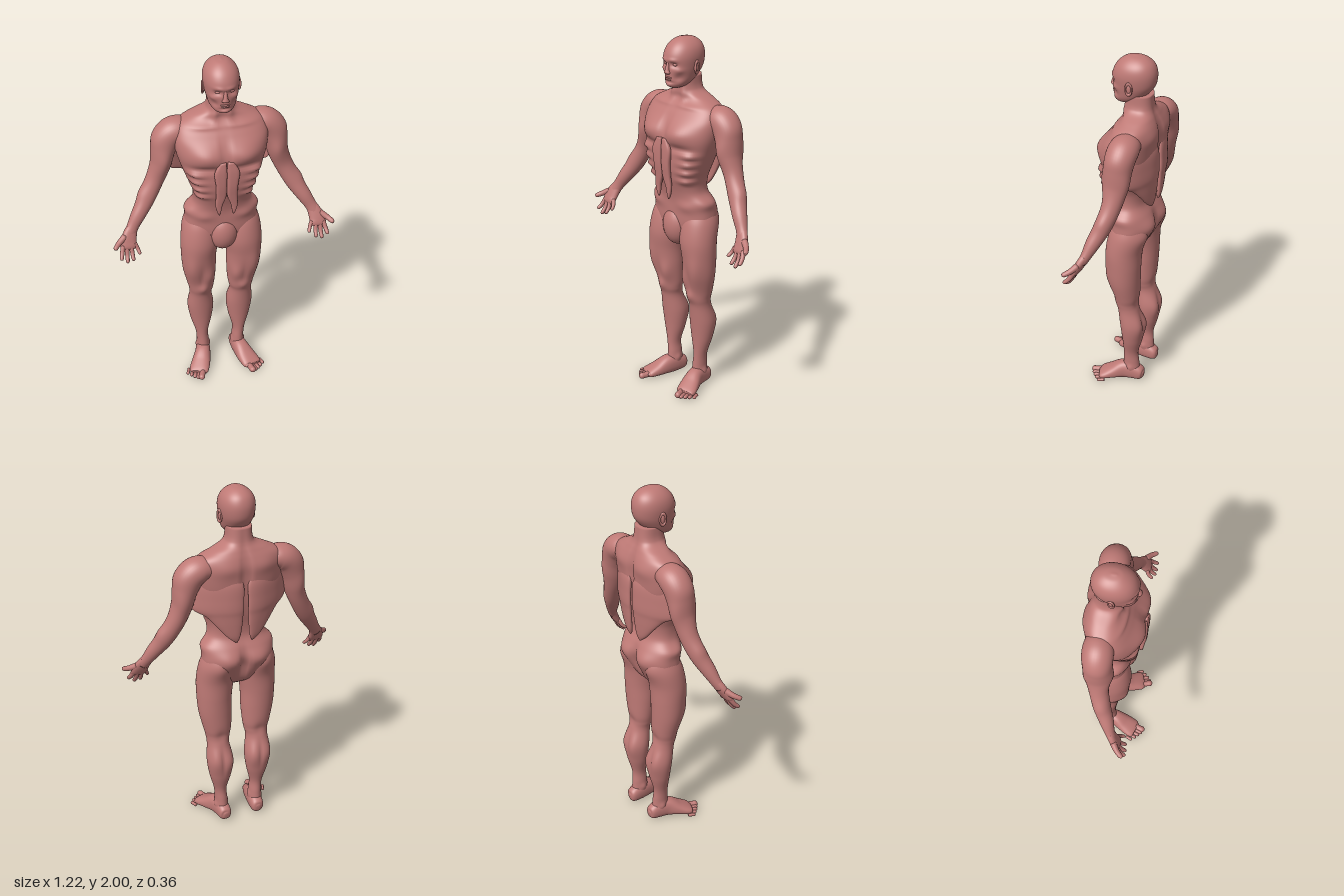
import * as THREE from 'three';

const skin = new THREE.MeshStandardMaterial({ color: 0xbf7a76 });
skin.name = 'skin';

const signedPow = (v, e) => Math.sign(v) * Math.abs(v) ** e;

// Smooth closed skin through elliptical sections [x, y, z, halfWidth, halfDepth]
function loft(sections, { ref = [0, 0, 1], rows = 40, sides = 32, power = 1, flat = false } = {}) {
  const path = new THREE.CatmullRomCurve3(sections.map(s => new THREE.Vector3(s[0], s[1], s[2])), false, 'catmullrom');
  const size = new THREE.CatmullRomCurve3(sections.map(s => new THREE.Vector3(s[3], s[4], 0)), false, 'catmullrom');
  const axis = new THREE.Vector3(...ref), pos = [], idx = [];
  for (let i = -1; i <= rows + 1; i++) {
    const t = Math.min(1, Math.max(0, i / rows));
    const c = path.getPoint(t), r = size.getPoint(t);
    if (i < 0 || i > rows) r.set(0, 0, 0);
    const d = flat ? new THREE.Vector3(0, -1, 0) : path.getTangent(t);
    const u = axis.clone().cross(d).normalize(), v = d.clone().cross(u);
    for (let j = 0; j < sides; j++) {
      const a = j / sides * Math.PI * 2;
      const p = c.clone()
        .addScaledVector(u, Math.max(0, r.x) * signedPow(Math.cos(a), power))
        .addScaledVector(v, Math.max(0, r.y) * signedPow(Math.sin(a), power));
      pos.push(p.x, p.y, p.z);
    }
  }
  for (let i = 0; i < rows + 2; i++) for (let j = 0; j < sides; j++) {
    const k = (j + 1) % sides, a = i * sides + j, b = i * sides + k;
    idx.push(a, b, a + sides, b, b + sides, a + sides);
  }
  const g = new THREE.BufferGeometry();
  g.setAttribute('position', new THREE.Float32BufferAttribute(pos, 3));
  g.setIndex(idx);
  g.computeVertexNormals();
  return g;
}

// Move every vertex by a rule
function reshape(g, rule) {
  const p = g.attributes.position, v = new THREE.Vector3();
  for (let i = 0; i < p.count; i++) {
    v.fromBufferAttribute(p, i);
    rule(v);
    p.setXYZ(i, v.x, v.y, v.z);
  }
  g.computeVertexNormals();
  return g;
}

// Soft swellings and hollows [x, y, z, rx, ry, rz, dx, dy, dz], symmetric when sym is set
function sculpt(g, bumps, sym = false) {
  return reshape(g, v => {
    const o = v.clone(), side = sym && o.x < 0 ? -1 : 1;
    for (const [x, y, z, rx, ry, rz, dx, dy, dz] of bumps) {
      const q = ((o.x * side - x) / rx) ** 2 + ((o.y - y) / ry) ** 2 + ((o.z - z) / rz) ** 2;
      const w = Math.exp(-q);
      v.x += dx * w * side * (sym ? Math.min(1, Math.abs(o.x) / 0.02) : 1);
      v.y += dy * w;
      v.z += dz * w;
    }
  });
}

function ball(x, y, z, rx, ry, rz) {
  return new THREE.SphereGeometry(1, 28, 20).scale(rx, ry, rz).translate(x, y, z);
}

function mirrored(g) {
  const m = g.clone().scale(-1, 1, 1), ix = m.index;
  for (let i = 0; i < ix.count; i += 3) {
    const a = ix.getX(i);
    ix.setX(i, ix.getX(i + 1));
    ix.setX(i + 1, a);
  }
  m.computeVertexNormals();
  return m;
}

export function createModel() {
  const model = new THREE.Group();
  model.name = 'muscleFigure';
  const add = (name, g) => {
    const m = new THREE.Mesh(g, skin);
    m.name = name;
    model.add(m);
  };
  const pair = (name, g) => { add(name + 'Left', g); add(name + 'Right', mirrored(g)); };
  // Horizontal rings [y, halfWidth, frontZ, backZ]
  const rings = list => list.map(([y, w, f, b]) => [0, y, (f + b) / 2, w, (f - b) / 2]);

  // Trunk and neck
  const trunk = loft(rings([
    [1.80, .066, .02, -.125], [1.74, .07, .015, -.13], [1.71, .09, .015, -.137], [1.68, .155, .015, -.15],
    [1.645, .22, .04, -.163], [1.60, .245, .075, -.172], [1.55, .25, .105, -.172], [1.48, .24, .125, -.168],
    [1.40, .215, .125, -.155], [1.32, .185, .122, -.135], [1.25, .16, .108, -.118], [1.18, .158, .085, -.115],
    [1.12, .19, .072, -.14], [1.06, .2, .07, -.155], [1.0, .2, .068, -.145], [.95, .185, .06, -.125],
    [.90, .14, .035, -.095], [.87, .07, .01, -.06],
  ]), { rows: 110, sides: 80, power: .82, flat: true });
  const trunkBumps = [
    [.11, 1.515, .13, .095, .055, .06, 0, 0, .03],     // chest muscle
    [.11, 1.435, .13, .1, .018, .06, 0, 0, -.014],     // crease under chest
    [0, 1.54, .12, .012, .07, .06, 0, 0, -.014],       // breastbone groove
    [0, 1.5, -.17, .018, .2, .05, 0, 0, .02],          // spine groove
    [0, 1.01, -.15, .022, .08, .06, 0, 0, .035],       // cleft
    [.09, 1.05, -.15, .07, .06, .06, 0, 0, -.022],     // buttock
    [.1, 1.6, -.17, .07, .05, .05, 0, 0, -.01],        // shoulder blade
    [.1, 1.645, .03, .09, .012, .05, 0, 0, .008],      // collar bone
    [.19, 1.12, 0, .05, .03, .1, .014, 0, 0],          // hip crest
    [.12, 1.1, .07, .06, .03, .05, 0, 0, .012],        // lower belly
    [.04, 1.7, .01, .02, .06, .04, 0, 0, .01],         // neck cord
  ];
  for (let i = 0; i < 4; i++) {                        // ribs
    trunkBumps.push([.155 - i * .008, 1.40 - i * .05, .09, .045, .016, .06, .014, 0, .014]);
  }
  add('trunk', sculpt(trunk, trunkBumps, true));

  // Broad back muscles, free at the lower tips and wrapping to the flanks
  const lat = loft([
    [.13, 1.57, -.15, .09, .012], [.135, 1.5, -.162, .122, .02], [.139, 1.42, -.166, .126, .02],
    [.138, 1.365, -.166, .125, .02], [.108, 1.325, -.162, .092, .018], [.085, 1.27, -.158, .066, .016],
    [.064, 1.21, -.152, .038, .014], [.052, 1.18, -.148, .018, .01], [.046, 1.165, -.146, .005, .004],
  ], { rows: 60, sides: 48, power: .75, flat: true });
  pair('backMuscle', reshape(lat, v => { v.z += 1.55 * v.x * v.x; }));

  // Belly straps ending in two points
  pair('bellyStrap', loft([
    [.02, 1.48, .13, .016, .01], [.033, 1.42, .132, .033, .015], [.03, 1.34, .131, .029, .015],
    [.03, 1.27, .124, .027, .014], [.041, 1.21, .119, .019, .012], [.04, 1.165, .118, .01, .009],
    [.038, 1.145, .118, .003, .003],
  ], { rows: 40, sides: 28, power: .7, flat: true }));

  add('groin', ball(0, .968, .018, .085, .114, .078));

  // Head
  const head = loft(rings([
    [2.0, .004, -.02, -.04], [1.992, .038, .015, -.085], [1.97, .068, .05, -.12], [1.94, .087, .075, -.139],
    [1.90, .094, .09, -.146], [1.85, .089, .09, -.138], [1.81, .08, .088, -.112], [1.775, .069, .086, -.075],
    [1.75, .05, .078, -.035], [1.737, .024, .06, .01],
  ]), { rows: 80, sides: 72, power: .95, flat: true });
  add('head', sculpt(head, [
    [.034, 1.865, .08, .02, .015, .04, 0, 0, -.014],   // eye socket
    [.03, 1.888, .085, .03, .01, .03, 0, 0, .006],     // brow
    [.058, 1.835, .06, .02, .015, .03, .005, 0, .004], // cheekbone
    [.052, 1.795, .06, .02, .02, .03, -.006, 0, -.006],// cheek hollow
    [0, 1.755, .08, .025, .014, .03, 0, 0, .006],      // chin
    [0, 1.772, .085, .03, .007, .03, 0, 0, -.006],     // hollow above chin
  ], true));
  add('nose', loft([
    [0, 1.885, .082, .007, .006], [0, 1.86, .087, .009, .01], [0, 1.835, .091, .013, .014],
    [0, 1.822, .092, .019, .014], [0, 1.813, .086, .012, .008],
  ], { rows: 20, sides: 20, flat: true }));
  pair('eye', ball(.034, 1.866, .064, .016, .009, .013));
  add('upperLip', ball(0, 1.796, .084, .025, .005, .01));
  add('lowerLip', ball(0, 1.786, .083, .021, .006, .01));
  const ear = new THREE.TorusGeometry(.02, .006, 10, 24).scale(.8, 1.5, 1).rotateY(Math.PI / 2 + .3).translate(.094, 1.848, -.032);
  pair('earRim', ear);
  pair('earBowl', ball(.09, 1.845, -.03, .008, .026, .014));

  // Arms
  const arm = loft([
    [.16, 1.59, -.08, .05, .06], [.22, 1.592, -.075, .07, .078], [.27, 1.565, -.072, .075, .08],
    [.3, 1.49, -.066, .066, .073], [.318, 1.4, -.06, .056, .064], [.352, 1.31, -.055, .05, .052],
    [.404, 1.21, -.03, .047, .046], [.456, 1.13, .002, .04, .038], [.49, 1.075, .022, .033, .028],
    [.512, 1.035, .04, .034, .023],
  ], { rows: 70, sides: 36 });
  pair('arm', sculpt(arm, [
    [.335, 1.55, -.06, .04, .05, .08, .01, 0, 0],      // shoulder cap
    [.3, 1.44, 0, .04, .06, .04, 0, 0, .012],          // biceps
    [.33, 1.43, -.12, .05, .07, .04, .004, 0, -.01],   // triceps
    [.43, 1.24, -.03, .03, .05, .05, .01, 0, 0],       // forearm
  ]));

  // Hands
  pair('palm', loft([
    [.495, 1.07, .024, .03, .022], [.512, 1.035, .042, .038, .022], [.524, 1.0, .06, .044, .02],
    [.527, .975, .073, .043, .016], [.528, .962, .079, .03, .008],
  ], { rows: 20, sides: 28, power: .85 }));
  [
    ['littleFinger', [.492, .99, .066], [.468, .936, .1], .0105],
    ['ringFinger', [.513, .98, .07], [.507, .907, .114], .0115],
    ['middleFinger', [.535, .98, .07], [.54, .899, .118], .012],
    ['indexFinger', [.554, .985, .07], [.573, .922, .118], .012],
    ['thumb', [.54, 1.03, .05], [.606, .992, .108], .015],
  ].forEach(([name, a, b, r]) => {
    const at = (t, k) => [0, 1, 2].map(i => a[i] + (b[i] - a[i]) * t).concat([r * k, r * k]);
    const bend = at(.55, 1);
    bend[2] -= .006;
    pair(name, loft([at(0, 1.2), bend, at(.88, .85), at(.97, .55), at(1, .1)], { rows: 18, sides: 14 }));
  });

  // Legs
  const leg = loft([
    [.112, 1.08, -.05, .075, .08], [.116, 1.0, -.038, .1, .102], [.122, .9, -.02, .105, .1],
    [.128, .8, -.022, .098, .092], [.125, .7, -.027, .093, .083], [.117, .6, -.035, .079, .07],
    [.115, .55, -.035, .069, .064], [.117, .5, -.045, .063, .06], [.114, .4, -.065, .075, .068],
    [.112, .3, -.065, .062, .058], [.11, .2, -.055, .036, .043], [.105, .13, -.055, .035, .046],
    [.104, .06, -.055, .038, .05], [.104, .03, -.055, .03, .04],
  ], { rows: 110, sides: 48, flat: true });
  pair('leg', sculpt(leg, [
    [.17, .74, .05, .04, .1, .05, .006, 0, .012],      // outer thigh
    [.075, .66, .04, .03, .06, .05, -.005, 0, .012],   // inner thigh
    [.12, .66, .06, .012, .08, .04, 0, 0, -.006],      // thigh groove
    [.115, .575, .035, .028, .03, .04, 0, 0, .012],    // kneecap
    [.07, .4, -.12, .03, .07, .04, -.004, 0, -.01],    // inner calf
    [.155, .42, -.12, .03, .07, .04, .004, 0, -.008],  // outer calf
    [.113, .42, -.14, .01, .08, .03, 0, 0, .01],       // calf groove
    [.115, .56, -.1, .03, .04, .03, 0, 0, .008],       // back of knee
    [.13, 1.02, -.14, .06, .06, .05, 0, 0, -.014],     // seat
    [.07, .1, -.05, .015, .018, .02, -.007, 0, 0],     // inner ankle bone
    [.14, .09, -.06, .015, .018, .02, .007, 0, 0],     // outer ankle bone
  ]));

  // Feet
  const foot = loft([
    [.1, .04, -.13, .012, .015], [.1, .042, -.115, .034, .038], [.104, .053, -.065, .041, .053],
    [.114, .055, -.01, .045, .055], [.136, .038, .05, .054, .038], [.158, .024, .1, .056, .024],
    [.165, .02, .12, .045, .015],
  ], { ref: [0, 1, 0], rows: 40, sides: 36, power: .85 });
  pair('foot', reshape(foot, v => { v.y = Math.max(.004, v.y); }));
  for (let i = 0; i < 5; i++) {
    const k = i / 4, r = i ? .0125 - .003 * k : .018;
    const x = .135 + .078 * k, z = .105 - .035 * k, tx = .158 + .07 * k, tz = .175 - .065 * k * (.6 + .4 * k);
    const at = (t, s) => [x + (tx - x) * t, r * 1.25 - .2 * r * t, z + (tz - z) * t, r * s, r * s];
    pair('toe' + (i + 1), loft([at(0, 1), at(.5, .95), at(.8, 1), at(.95, .65), at(1, .1)], { ref: [0, 1, 0], rows: 14, sides: 14 }));
  }
  return model;
}
